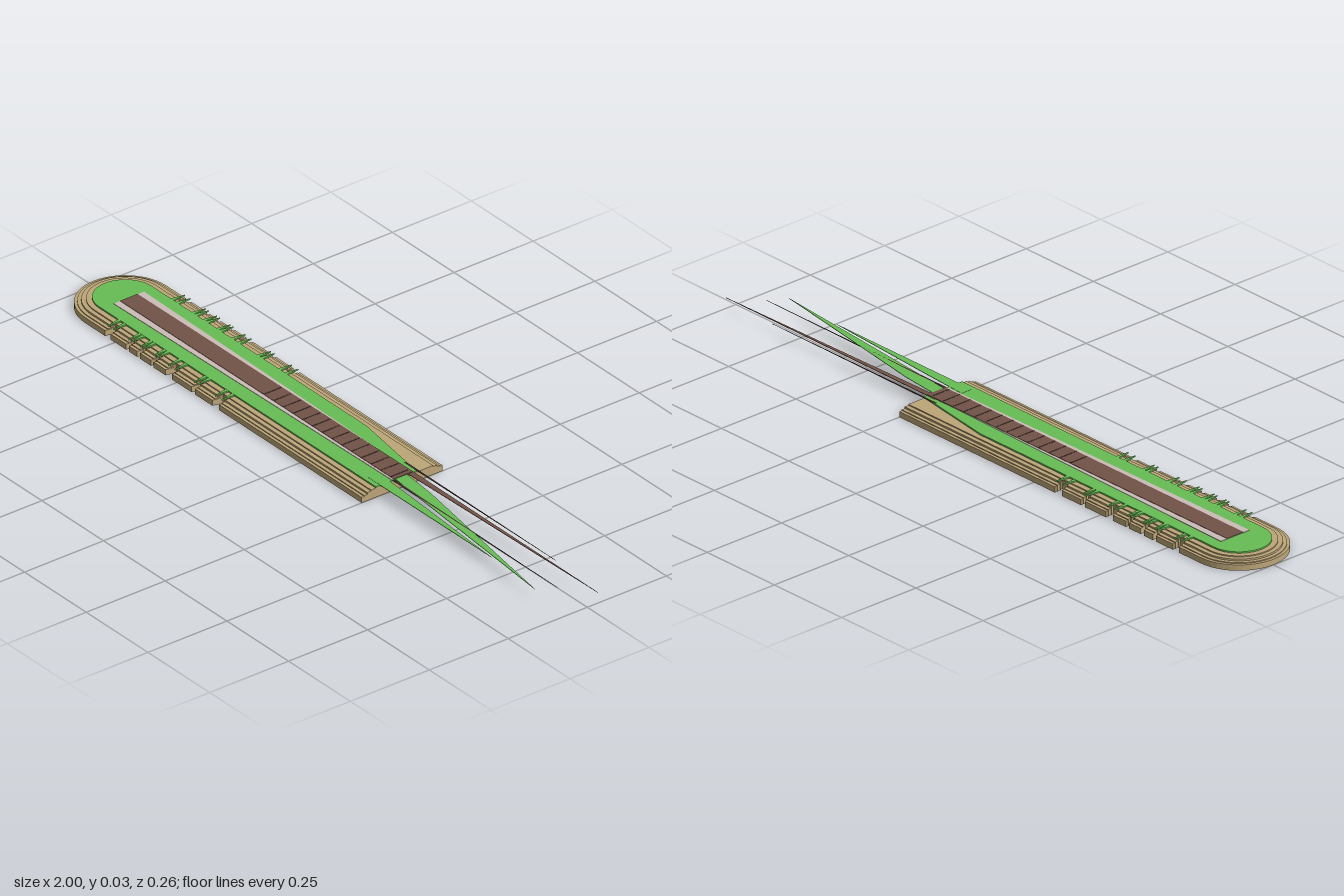
import * as THREE from 'three';

const mat = (name, color) => {
  const m = new THREE.MeshStandardMaterial({ color, side: THREE.DoubleSide });
  m.name = name;
  return m;
};
const CX = -0.872; // centre of the rounded end
const END = 0.25; // open straight end
const NOTCHES = [
  [-0.79, 0.022], [-0.705, 0.012], [-0.66, 0.012], [-0.605, 0.012],
  [-0.545, 0.026], [-0.44, 0.014], [-0.355, 0.026],
];

// Vertical prism from an outline of [x, z] points
function plate(name, points, y0, y1, material) {
  const shape = new THREE.Shape(points.map(([x, z]) => new THREE.Vector2(x, -z)));
  const geo = new THREE.ExtrudeGeometry(shape, { depth: y1 - y0, bevelEnabled: false });
  geo.rotateX(-Math.PI / 2);
  geo.translate(0, y0, 0);
  const mesh = new THREE.Mesh(geo, material);
  mesh.name = name;
  return mesh;
}

// Long outline with one round end, and slanted notches along both sides
function trackOutline(r, floor) {
  const side = [];
  if (r > floor) {
    for (const [x, w] of NOTCHES) {
      side.push([x, r], [x + 0.006, floor], [x + w + 0.004, floor], [x + w, r]);
    }
  }
  const pts = [[END, -r]];
  for (const [x, z] of [...side].reverse()) pts.push([x, -z]);
  for (let i = 0; i <= 24; i++) {
    const a = -Math.PI / 2 - (Math.PI * i) / 24;
    pts.push([CX + Math.cos(a) * r, Math.sin(a) * r]);
  }
  pts.push(...side, [END, r]);
  return pts;
}

export function createModel() {
  const stone = mat('tan stone', 0xbda679);
  const grass = mat('grass green', 0x68bd55);
  const brown = mat('spine brown', 0x735347);
  const dark = mat('dark brown', 0x45322b);
  const pale = mat('pale paving', 0xcbbdb8);
  const model = new THREE.Group();
  model.name = 'longTrack';

  // Stepped seating tiers
  [[0.128, 0.016], [0.12, 0.0185], [0.11, 0.0235], [0.098, 0.0265]].forEach(([r, h], i) => {
    model.add(plate('seatingTier' + (i + 1), trackOutline(r, 0.1), 0, h, stone));
  });

  // Grass field, narrowing along the back edge near the open end
  const field = trackOutline(0.083, 1);
  field[0] = [END, -0.045];
  field.splice(1, 0, [0, -0.083]);
  model.add(plate('field', field, 0.0255, 0.0305, grass));

  // Small pointed grass tufts reaching into the notches
  for (const s of [-1, 1]) {
    for (const [x, w] of NOTCHES) {
      for (const dx of [0, w]) {
        const c = x + dx;
        model.add(plate('grassSpike', [
          [c - 0.005, s * 0.08], [c + 0.007, s * 0.08], [c + 0.003, s * 0.122],
        ], 0.0262, 0.0302, grass));
      }
    }
  }

  // Pale strips and the central spine
  model.add(plate('paving', [[-0.86, -0.05], [END, -0.032], [END, 0.032], [-0.86, 0.046]],
    0.03, 0.0315, pale));
  model.add(plate('spine', [[-0.86, -0.029], [END, -0.034], [END, 0.026], [-0.86, 0.026]],
    0.03, 0.0325, brown));
  for (let i = 0; i < 14; i++) {
    const x = -0.28 + i * 0.0395;
    model.add(plate('spineRib', [[x, -0.029], [x + 0.004, -0.029], [x + 0.004, 0.026], [x, 0.026]],
      0.032, 0.033, dark));
  }

  // Long thin blades running out past the open end
  const blades = [
    ['greenBlade', [[0.2, -0.02], [0.36, -0.005], [0.89, 0.08], [0.25, 0.022]], grass],
    ['greenBlade', [[0.2, 0.036], [0.35, 0.045], [0.7, 0.069], [0.2, 0.07]], grass],
    ['brownBlade', [[0.2, -0.036], [1, -0.034], [0.2, -0.018]], brown],
    ['brownBlade', [[0.2, -0.051], [0.81, -0.048], [0.2, -0.046]], dark],
    ['brownBlade', [[0.2, 0.025], [0.92, 0.031], [0.2, 0.031]], dark],
  ];
  for (const [name, pts, m] of blades) model.add(plate(name, pts, 0.0295, 0.031, m));

  return model;
}
